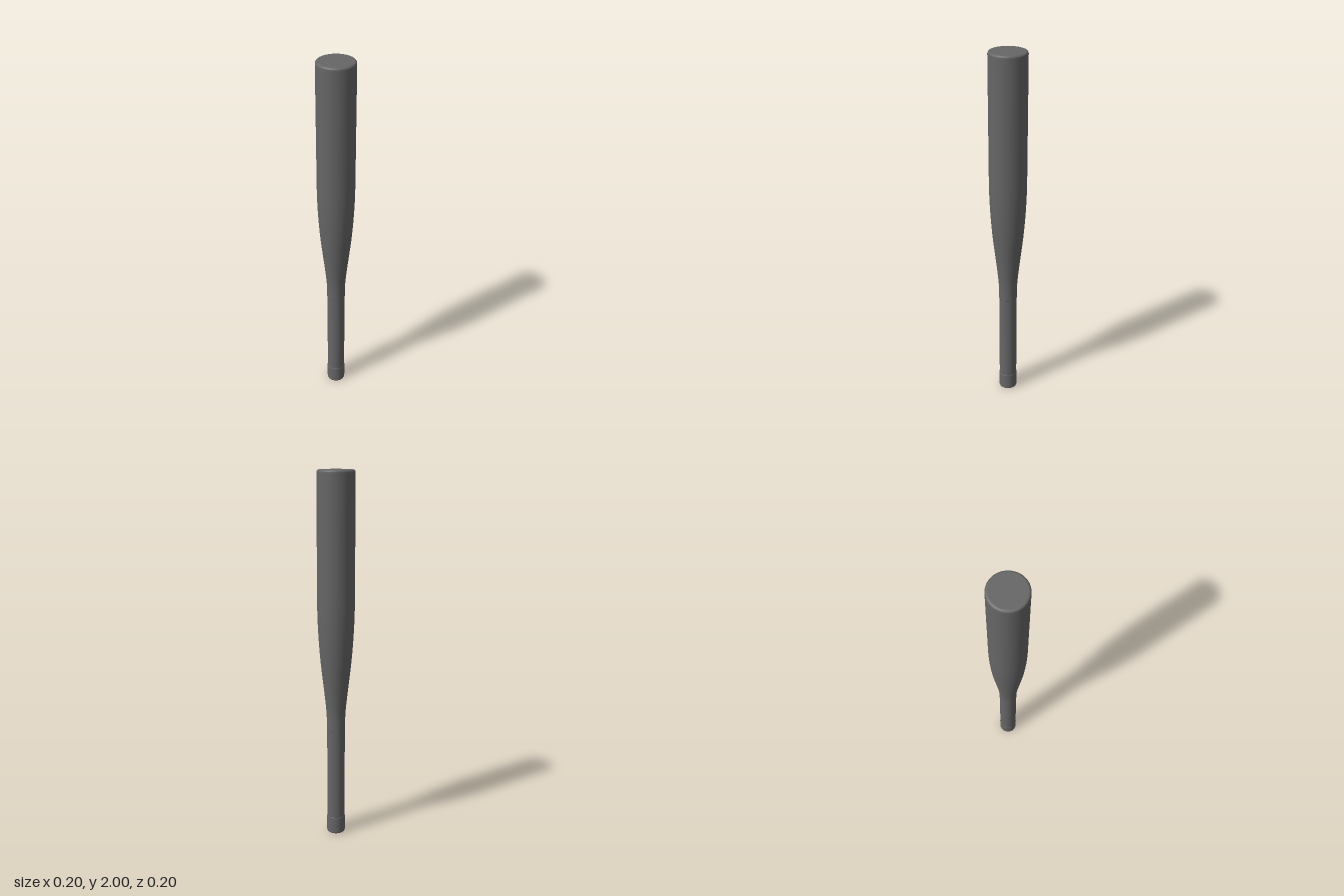
import * as THREE from 'three';

const SEGMENTS = 64;
const material = new THREE.MeshStandardMaterial({ color: 0x666666 });

// Revolve a profile of [radius, height] pairs, listed from bottom to top.
function turned(name, profile) {
  const points = profile.map(([r, y]) => new THREE.Vector2(r, y));
  const mesh = new THREE.Mesh(new THREE.LatheGeometry(points, SEGMENTS), material);
  mesh.name = name;
  return mesh;
}

// Quarter-round edge; start and end are angles in the profile plane.
function roundEdge(r, y, radius, start, end, steps = 5) {
  return Array.from({ length: steps + 1 }, (_, i) => {
    const a = start + (end - start) * i / steps;
    return [r + radius * Math.cos(a), y + radius * Math.sin(a)];
  });
}

export function createModel() {
  const bat = new THREE.Group();
  bat.name = 'bat';

  // Butt cap with a rounded lower rim and a fine lip where the grip starts
  bat.add(turned('buttCap', [
    [0, 0], [0.041, 0],
    ...roundEdge(0.042, 0.008, 0.008, -Math.PI / 2, 0),
    [0.05, 0.01], [0.05, 0.092], [0.0495, 0.096], [0.047, 0.098],
  ]));

  // Straight grip, ending in a small step against the taper
  bat.add(turned('grip', [
    [0.047, 0.096], [0.0485, 0.099], [0.0485, 0.102],
    [0.0485, 0.604], [0.0485, 0.608], [0.046, 0.61],
  ]));

  // Taper flowing from the handle into the barrel
  const taper = new THREE.SplineCurve([
    [0.0495, 0.61], [0.0515, 0.7], [0.061, 0.8], [0.0725, 0.9], [0.0835, 1.0],
    [0.0915, 1.1], [0.0965, 1.19], [0.099, 1.27],
  ].map(([r, y]) => new THREE.Vector2(r, y))).getPoints(28).map((p) => [p.x, p.y]);

  // Barrel with a rounded top rim and a flat end
  bat.add(turned('barrel', [
    [0.046, 0.606], [0.049, 0.607], ...taper,
    [0.0995, 1.32], [0.0995, 1.975],
    ...roundEdge(0.0875, 1.988, 0.012, 0, Math.PI / 2),
    [0.086, 2], [0, 2],
  ]));

  return bat;
}
